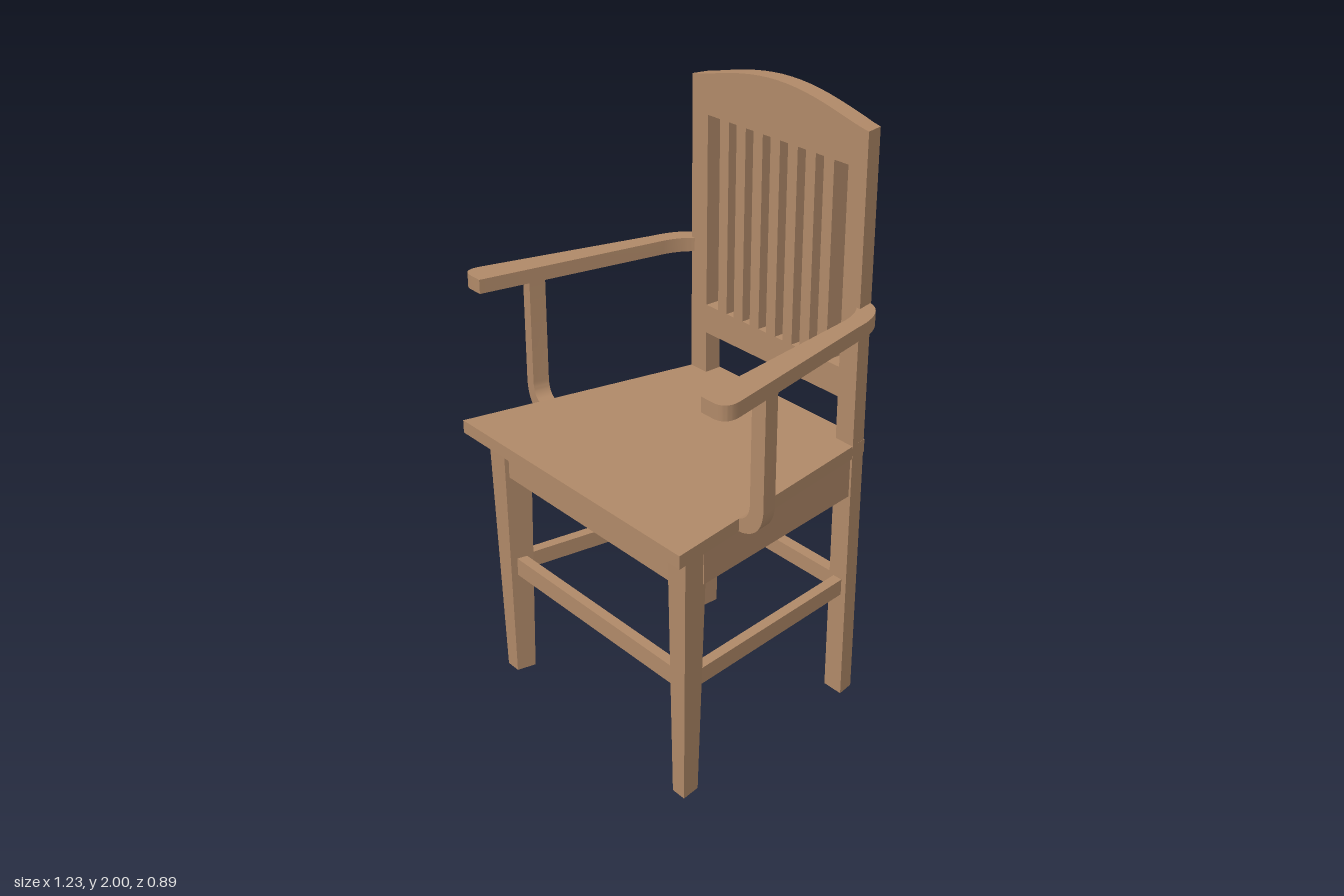
import * as THREE from 'three';
import { toCreasedNormals } from 'three/addons/utils/BufferGeometryUtils.js';

const SLOPE = 0.185; // sideways flare of the seat from back to front

export function createModel() {
  const chair = new THREE.Group();
  chair.name = 'armchair';
  const wood = new THREE.MeshStandardMaterial({ color: 0xb08968 });
  wood.name = 'wood';

  function add(name, geometry) {
    const mesh = new THREE.Mesh(geometry, wood);
    mesh.name = name;
    chair.add(mesh);
    return mesh;
  }
  const extrude = (shape, depth) =>
    new THREE.ExtrudeGeometry(shape, { depth, bevelEnabled: false, curveSegments: 12 });
  const polygon = (pts) => new THREE.Shape(pts.map(([x, y]) => new THREE.Vector2(x, y)));
  // Plan shape drawn in (x, -z), raised from y0 to y1
  const slab = (shape, y0, y1) =>
    toCreasedNormals(extrude(shape, y1 - y0).rotateX(-Math.PI / 2).translate(0, y0, 0), 0.5);
  // Straight rail whose plan is given by its corners
  const rail = (name, corners, y0, y1) =>
    add(name, slab(polygon(corners.map(([x, z]) => [x, -z])), y0, y1));

  // Back: posts, lower rail, slats and curved crest in one pierced panel
  const back = polygon([[-0.385, 0], [-0.31, 0], [-0.31, 1.075], [0.31, 1.075], [0.31, 0], [0.385, 0], [0.385, 1.937]]);
  back.bezierCurveTo(0.3, 1.947, 0.17, 2, 0, 2);
  back.bezierCurveTo(-0.17, 2, -0.3, 1.947, -0.385, 1.937);
  const step = 0.077, half = 0.021;
  for (let i = 0; i < 8; i++) {
    const x0 = i === 0 ? -0.31 : (i - 4) * step + half;
    const x1 = i === 7 ? 0.31 : (i - 3) * step - half;
    back.holes.push(polygon([[x0, 1.175], [x0, 1.82], [x1, 1.82], [x1, 1.175]]));
  }
  const backGeo = extrude(back, 0.06).translate(0, 0, -0.44);
  const pos = backGeo.attributes.position;
  for (let i = 0; i < pos.count; i++) { // outer sides follow the flare
    const x = pos.getX(i), over = Math.abs(x) - 0.31;
    if (over > 0 && pos.getZ(i) < -0.41) pos.setX(i, Math.sign(x) * (0.31 + over * 0.83));
  }
  backGeo.computeVertexNormals();
  add('backFrame', toCreasedNormals(backGeo, 0.5));

  // Seat
  rail('seat', [[-0.535, 0.443], [0.535, 0.443], [0.373, -0.443], [-0.373, -0.443]], 0.886, 0.93);

  // Front and back aprons and stretchers
  const cross = (name, w, z0, z1, y0, y1) =>
    rail(name, [[-w, z1], [w, z1], [w, z0], [-w, z0]], y0, y1);
  cross('frontApron', 0.41, 0.325, 0.365, 0.75, 0.886);
  cross('backApron', 0.32, -0.43, -0.39, 0.75, 0.886);
  cross('frontStretcher', 0.415, 0.315, 0.35, 0.377, 0.44);
  cross('backStretcher', 0.32, -0.43, -0.39, 0.38, 0.436);

  for (const s of [1, -1]) {
    const side = s > 0 ? 'left' : 'right';

    // Front leg, tapering downwards and skewed with the flare
    const leg = new THREE.BoxGeometry(1, 0.886, 1).translate(0, 0.443, 0);
    const p = leg.attributes.position;
    for (let i = 0; i < p.count; i++) {
      const top = p.getY(i) > 0.5;
      const z = p.getZ(i) * (top ? 0.095 : 0.065);
      const x = p.getX(i) * (top ? 0.08 : 0.053);
      p.setX(i, s * (top ? 0.438 : 0.432) + x + s * SLOPE * z);
      p.setZ(i, z + 0.333);
    }
    leg.computeVertexNormals();
    add(side + 'FrontLeg', leg);

    // Side apron and stretcher
    const sideRail = (name, front, rear, t, y0, y1) => rail(side + name,
      [[s * front, 0.3], [s * rear, -0.4], [s * (rear - t), -0.4], [s * (front - t), 0.3]], y0, y1);
    sideRail('Apron', 0.474, 0.374, 0.04, 0.75, 0.886);
    sideRail('Stretcher', 0.45, 0.362, 0.036, 0.38, 0.436);

    // Armrest, curving in to the back post
    const arm = new THREE.Shape();
    arm.moveTo(s * 0.36, 0.437);
    arm.bezierCurveTo(s * 0.42, 0.437, s * 0.463, 0.37, s * 0.475, 0.285);
    arm.lineTo(s * 0.613, -0.295);
    arm.quadraticCurveTo(s * 0.628, -0.36, s * 0.57, -0.36);
    arm.lineTo(s * 0.525, -0.36);
    arm.lineTo(s * 0.416, 0.285);
    arm.quadraticCurveTo(s * 0.404, 0.345, s * 0.37, 0.381);
    arm.lineTo(s * 0.36, 0.381);
    add(side + 'Armrest', slab(arm, 1.345, 1.392));

    // Arm support, bending in to meet the seat edge
    const post = new THREE.Shape();
    post.moveTo(s * 0.045, 1.35);
    post.lineTo(s * 0.093, 1.35);
    post.lineTo(s * 0.093, 0.975);
    post.quadraticCurveTo(s * 0.088, 0.895, s * 0.02, 0.888);
    post.lineTo(s * -0.01, 0.888);
    post.lineTo(s * -0.01, 0.928);
    post.quadraticCurveTo(s * 0.042, 0.93, s * 0.045, 0.985);
    const support = add(side + 'ArmSupport', toCreasedNormals(extrude(post, 0.055).translate(0, 0, -0.0275), 0.5));
    support.rotation.y = s * Math.atan(SLOPE);
    support.position.set(s * 0.475, 0, 0.155);
  }
  return chair;
}
